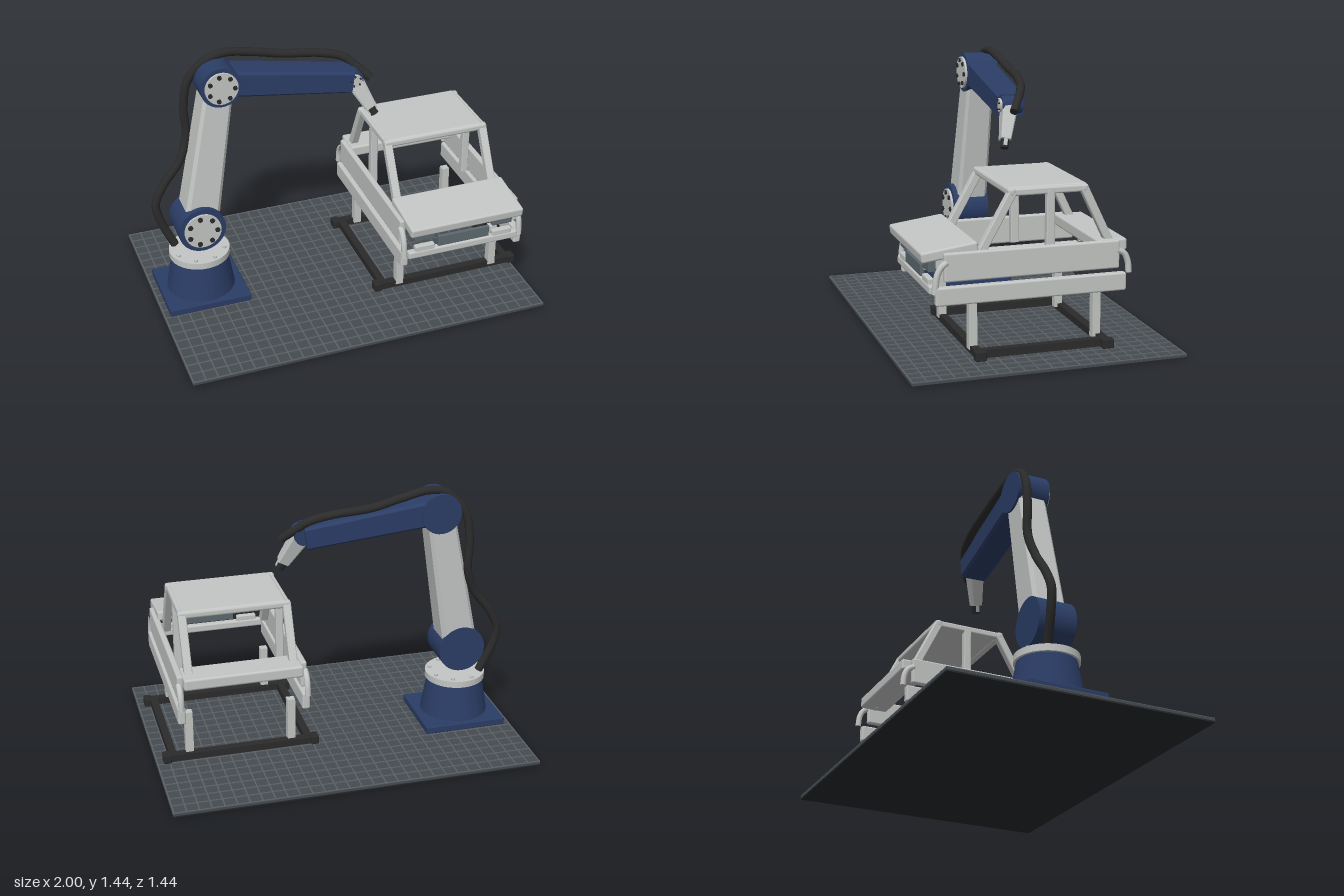
import * as THREE from 'three';
import { RoundedBoxGeometry } from 'three/addons/geometries/RoundedBoxGeometry.js';

const mat = (name, color) => Object.assign(new THREE.MeshStandardMaterial({ color }), { name });
const V = (x, y, z) => new THREE.Vector3(x, y, z);

export function createModel() {
  const model = new THREE.Group();
  model.name = 'robotWorkcell';
  const navy = mat('navy paint', 0x2b3d66);
  const light = mat('light grey', 0xc3c6c4);
  const black = mat('black rubber', 0x2b2b2b);
  const slate = mat('slate trim', 0x5c686e);
  const floorGrey = mat('floor grey', 0x454b50);
  const gridGrey = mat('floor grid', 0x5a6166);
  const floorDark = mat('floor underside', 0x26282a);

  const group = (name) => {
    const g = new THREE.Group();
    g.name = name;
    model.add(g);
    return g;
  };
  const add = (parent, name, geo, material) => {
    const m = new THREE.Mesh(geo, material);
    m.name = name;
    parent.add(m);
    return m;
  };
  // Box given by its low and high limits; r rounds the edges
  const box = (parent, name, material, x, y, z, r = 0) => {
    const s = [x[1] - x[0], y[1] - y[0], z[1] - z[0]];
    const geo = r ? new RoundedBoxGeometry(...s, 2, r) : new THREE.BoxGeometry(...s);
    const m = add(parent, name, geo, material);
    m.position.set((x[0] + x[1]) / 2, (y[0] + y[1]) / 2, (z[0] + z[1]) / 2);
    return m;
  };
  // Tapered beam with chamfered edges; size = [along ref, across ref]
  const beam = (parent, name, material, a, b, s0, s1, ref, c = 0.1) => {
    const e = 0.5 - c;
    const shape = new THREE.Shape([[0.5, -e], [0.5, e], [e, 0.5], [-e, 0.5], [-0.5, e], [-0.5, -e], [-e, -0.5], [e, -0.5]]
      .map(([x, y]) => new THREE.Vector2(x, y)));
    const geo = new THREE.ExtrudeGeometry(shape, { depth: 1, bevelEnabled: false });
    const d = b.clone().sub(a), len = d.length();
    const p = geo.attributes.position;
    for (let i = 0; i < p.count; i++) {
      const t = p.getZ(i);
      p.setXYZ(i, p.getX(i) * (s0[0] + (s1[0] - s0[0]) * t), p.getY(i) * (s0[1] + (s1[1] - s0[1]) * t), t * len);
    }
    d.normalize();
    const side = ref.clone().addScaledVector(d, -ref.dot(d)).normalize();
    geo.applyMatrix4(new THREE.Matrix4().makeBasis(side, d.clone().cross(side), d).setPosition(a));
    geo.computeVertexNormals();
    return add(parent, name, geo, material);
  };
  const X = V(1, 0, 0), Z = V(0, 0, 1);

  // Floor slab with a raised grid
  const floor = group('floor');
  box(floor, 'floorUnderside', floorDark, [-1, 1], [0, 0.008], [-0.72, 0.72]);
  box(floor, 'floorPlate', floorGrey, [-1, 1], [0.008, 0.021], [-0.72, 0.72]);
  for (let i = 0; i <= 30; i++) {
    const x = -0.995 + i * 1.99 / 30;
    box(floor, 'gridBar', gridGrey, [x - 0.004, x + 0.004], [0.021, 0.025], [-0.72, 0.72]);
  }
  for (let i = 0; i <= 20; i++) {
    const z = -0.715 + i * 1.43 / 20;
    box(floor, 'gridCrossBar', gridGrey, [-1, 1], [0.021, 0.0246], [z - 0.004, z + 0.004]);
  }

  // Robot pedestal
  const robot = group('robotArm');
  const bx = -0.735, bz = -0.066;
  box(robot, 'basePlate', navy, [-0.965, -0.505], [0.024, 0.065], [-0.28, 0.145], 0.006);
  add(robot, 'pedestal', new THREE.CylinderGeometry(0.154, 0.188, 0.2, 48), navy).position.set(bx, 0.165, bz);
  add(robot, 'turntableFlange', new THREE.CylinderGeometry(0.167, 0.167, 0.037, 48), light).position.set(bx, 0.283, bz);
  for (let i = 0; i < 8; i++) {
    const a = (i + 0.5) * Math.PI / 4;
    add(robot, 'flangeBolt', new THREE.CylinderGeometry(0.012, 0.012, 0.012, 8), light)
      .position.set(bx + 0.14 * Math.cos(a), 0.307, bz + 0.14 * Math.sin(a));
  }

  // Round joints across z, with a bolted cover on the front
  const joint = (name, x, y, z0, z1, r, capR, bolts) => {
    const g = new THREE.Group();
    g.name = name;
    robot.add(g);
    const disc = (part, radius, a, b, material, px = x, py = y, n = 40) => {
      const m = add(g, part, new THREE.CylinderGeometry(radius, radius, b - a, n), material);
      m.rotation.x = Math.PI / 2;
      m.position.set(px, py, (a + b) / 2);
    };
    disc('housing', r, z0, z1, navy);
    disc('cover', capR, z1, z1 + 0.012, light);
    for (let i = 0; i < bolts; i++) {
      const a = 1.75 + i * 2 * Math.PI / bolts;
      disc('coverBolt', capR * 0.14, z1 + 0.012, z1 + 0.02, black, x + capR * 0.78 * Math.cos(a), y + capR * 0.78 * Math.sin(a), 8);
    }
  };
  joint('shoulder', bx, 0.473, -0.17, 0.036, 0.131, 0.102, 7);
  joint('elbow', -0.585, 1.29, -0.188, -0.01, 0.111, 0.09, 7);
  joint('wrist', 0.15, 1.208, -0.11, 0.0, 0.048, 0.036, 5);

  // Arm links
  beam(robot, 'lowerArm', light, V(-0.728, 0.5, -0.078), V(-0.592, 1.26, -0.1), [0.18, 0.195], [0.155, 0.155], Z);
  beam(robot, 'upperArm', navy, V(-0.6, 1.302, -0.103), V(0.14, 1.2, -0.06), [0.168, 0.15], [0.15, 0.125], Z);
  beam(robot, 'wristLink', light, V(0.145, 1.21, -0.05), V(0.238, 1.035, 0.004), [0.085, 0.1], [0.055, 0.065], Z);
  beam(robot, 'toolTip', black, V(0.232, 1.046, 0), V(0.258, 0.995, 0.014), [0.045, 0.05], [0.04, 0.045], Z, 0.28);
  for (const s of [-1, 1])
    beam(robot, 'toolClamp', light, V(0.238 + s * 0.02, 1.04 + s * 0.01, 0.004), V(0.254 + s * 0.018, 1.005 + s * 0.009, 0.014), [0.02, 0.012], [0.02, 0.012], Z);

  // Cable hose
  const hosePath = new THREE.CatmullRomCurve3([
    [-0.857, 0.31, -0.125], [-0.925, 0.47, -0.14], [-0.943, 0.575, -0.145], [-0.89, 0.69, -0.148], [-0.795, 0.82, -0.15],
    [-0.748, 0.96, -0.17], [-0.752, 1.12, -0.172], [-0.725, 1.28, -0.165], [-0.635, 1.39, -0.15], [-0.527, 1.42, -0.15],
    [-0.366, 1.393, -0.158], [-0.206, 1.355, -0.16], [0.008, 1.33, -0.142], [0.126, 1.297, -0.12], [0.184, 1.25, -0.09],
    [0.254, 1.185, -0.04]].map((p) => V(...p)));
  add(robot, 'hose', new THREE.TubeGeometry(hosePath, 120, 0.023, 12), black);
  for (const [t, n] of [[0, -1], [1, 1]]) {
    const cap = add(robot, 'hoseEnd', new THREE.CircleGeometry(0.023, 12), black);
    cap.position.copy(hosePath.getPoint(t));
    cap.quaternion.setFromUnitVectors(Z, hosePath.getTangent(t).multiplyScalar(n));
  }

  // Stand under the car body
  const stand = group('stand');
  for (const [z0, z1] of [[-0.33, -0.27], [0.335, 0.392]]) {
    box(stand, 'crossRail', black, [0.16, 0.945], [0.092, 0.13], [z0 + 0.008, z1 - 0.008]);
    for (const x of [0.13, 0.935]) box(stand, 'railEnd', black, [x, x + 0.042], [0.087, 0.136], [z0, z1], 0.006);
  }
  const cx = 0.553;
  for (const s of [-1, 1]) {
    box(stand, 'sideRail', black, [cx + s * 0.37 - 0.02, cx + s * 0.37 + 0.02], [0.092, 0.133], [-0.3, 0.37]);
    for (const z of [-0.282, 0.368])
      box(stand, 'post', light, [cx + s * 0.278 - 0.021, cx + s * 0.278 + 0.021], [0.11, 0.363], [z - 0.021, z + 0.021]);
  }

  // Car body frame, mirrored about x = cx
  const car = group('carFrame');
  for (const s of [-1, 1]) {
    const xr = (at, half) => [cx + s * at - half, cx + s * at + half];
    box(car, 'upperSideBeam', light, xr(0.327, 0.017), [0.475, 0.62], [-0.385, 0.525], 0.01);
    box(car, 'lowerSideBeam', light, xr(0.331, 0.021), [0.36, 0.453], [-0.42, 0.57], 0.01);
    // Curved corner pieces joining the side beams
    const rear = new THREE.CatmullRomCurve3([[0.57, -0.375], [0.55, -0.41], [0.51, -0.43], [0.45, -0.437]].map(([y, z]) => V(cx + s * 0.335, y, z)));
    const front = new THREE.CatmullRomCurve3([[0.575, 0.51], [0.55, 0.54], [0.51, 0.56], [0.42, 0.572]].map(([y, z]) => V(cx + s * 0.335, y, z)));
    for (const path of [rear, front]) add(car, 'cornerFender', new THREE.TubeGeometry(path, 16, 0.016, 10), light).material = light;
    // Pillars and roof rail
    const px = cx + s * 0.278;
    beam(car, 'frontPillar', light, V(px, 0.56, 0.345), V(px, 0.89, 0.16), [0.043, 0.042], [0.043, 0.042], X);
    beam(car, 'rearPillar', light, V(px, 0.56, -0.37), V(px, 0.89, -0.21), [0.043, 0.042], [0.043, 0.042], X);
    beam(car, 'middlePillar', light, V(px, 0.49, -0.035), V(px, 0.885, -0.035), [0.04, 0.045], [0.04, 0.04], X);
    box(car, 'roofRail', light, xr(0.278, 0.018), [0.868, 0.905], [-0.22, 0.17], 0.01);
    // Lamps and bumper blocks
    box(car, 'headlight', slate, xr(0.224, 0.058), [0.515, 0.578], [0.55, 0.588], 0.006);
    box(car, 'bumperBlock', light, xr(0.224, 0.056), [0.445, 0.485], [0.56, 0.592], 0.006);
  }
  box(car, 'roofPanel', light, [0.275, 0.832], [0.878, 0.911], [-0.23, 0.18], 0.012);
  for (const z of [-0.213, 0.167]) box(car, 'roofCrossBar', light, [0.252, 0.854], [0.868, 0.908], [z - 0.02, z + 0.02], 0.014);
  box(car, 'rearDeck', light, [0.238, 0.868], [0.557, 0.62], [-0.435, -0.275], 0.012);
  const hood = box(car, 'hood', light, [0.23, 0.875], [0.59, 0.644], [0.345, 0.635], 0.012);
  hood.rotation.x = 0.135;
  box(car, 'frontBumper', light, [0.235, 0.87], [0.413, 0.457], [0.555, 0.595], 0.01);
  box(car, 'grille', slate, [0.403, 0.698], [0.463, 0.525], [0.575, 0.594], 0.004);
  return model;
}
